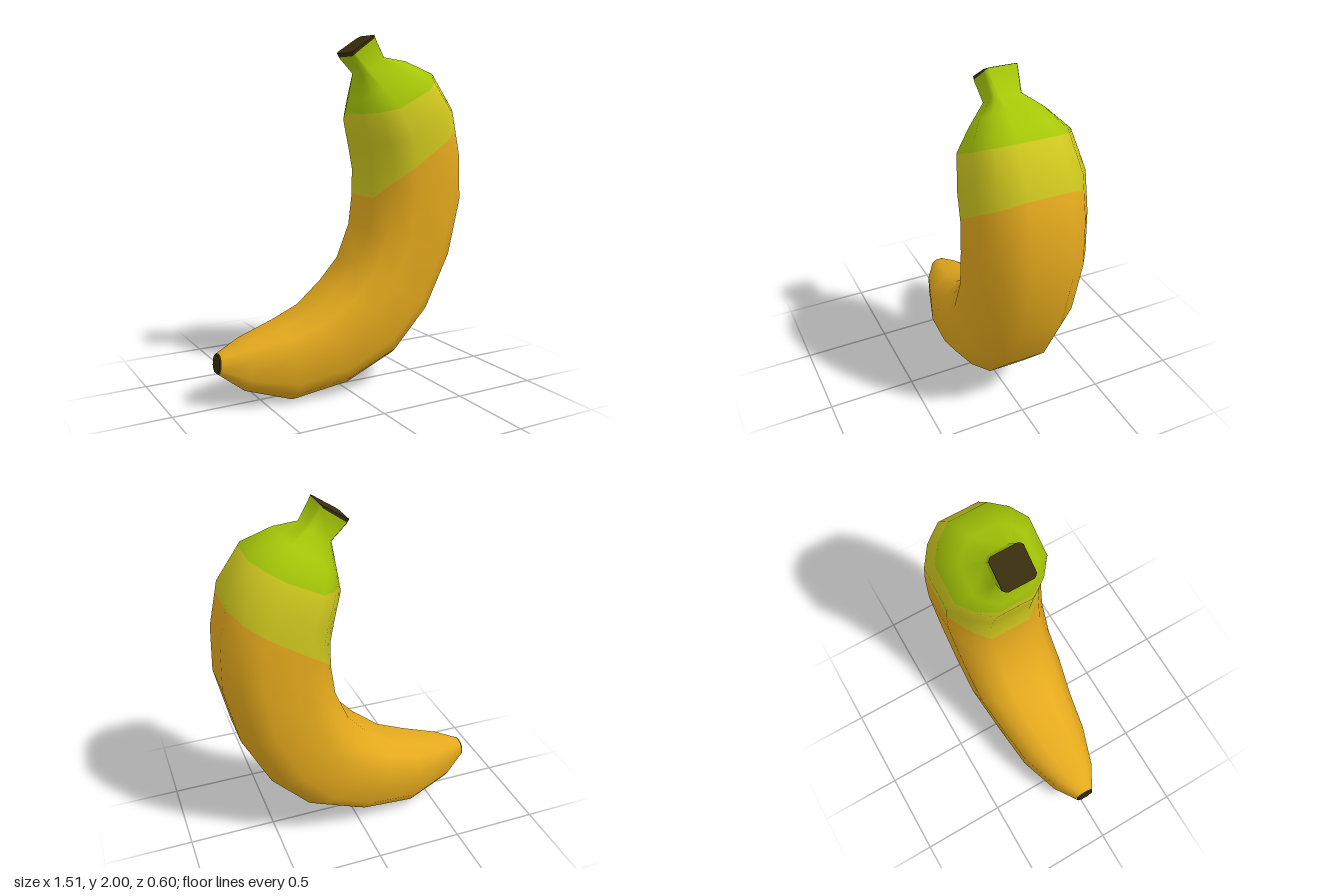
import * as THREE from 'three';

// Cross-sections from blossom tip to stem: inner x, y, outer x, y, flatness (width of the straight sides)
const RINGS = [
  [-0.745, 0.30, -0.755, 0.20, 0.40],
  [-0.60, 0.36, -0.61, 0.09, 0.40],
  [-0.39, 0.42, -0.34, 0.00, 0.40],
  [-0.22, 0.485, 0.00, 0.045, 0.40],
  [-0.06, 0.61, 0.30, 0.18, 0.40],
  [0.05, 0.73, 0.52, 0.41, 0.40],
  [0.13, 0.92, 0.68, 0.73, 0.40],
  [0.155, 1.10, 0.755, 1.07, 0.40],
  [0.155, 1.25, 0.745, 1.34, 0.40],
  [0.13, 1.38, 0.69, 1.59, 0.40],
  [0.09, 1.53, 0.555, 1.79, 0.40],
  [0.10, 1.64, 0.39, 1.86, 0.42],
  [0.12, 1.79, 0.26, 1.88, 0.65],
  [0.045, 1.875, 0.197, 1.975, 0.78],
  [0.03, 1.90, 0.185, 2.00, 0.78],
];
const SIDES = 12;
const LAST = RINGS.length - 1;

// Twelve-sided section, each as deep in z as it is wide
function ringPoints([ix, iy, ox, oy, f]) {
  const d = (1 + f) / 2 + 0.08 * (1 - f);
  const corners = [[1, -f], [1, f], [d, d], [f, 1], [-f, 1], [-d, d],
    [-1, f], [-1, -f], [-d, -d], [-f, -1], [f, -1], [d, -d]];
  const half = Math.hypot(ox - ix, oy - iy) / 2;
  return corners.map(([u, v]) => new THREE.Vector3(
    (ix + ox) / 2 + u * (ox - ix) / 2, (iy + oy) / 2 + u * (oy - iy) / 2, v * half));
}

// Whole skin, used as the source of positions and smooth normals
function makeSkin() {
  const points = RINGS.flatMap(ringPoints);
  const index = [];
  for (let r = 0; r < LAST; r++) for (let k = 0; k < SIDES; k++) {
    const a = r * SIDES + k, d = r * SIDES + (k + 1) % SIDES;
    index.push(a, a + SIDES, d + SIDES, a, d + SIDES, d);
  }
  const geo = new THREE.BufferGeometry().setFromPoints(points);
  geo.setIndex(index);
  geo.computeVertexNormals();
  return geo;
}

function sample(attribute, t, k) {
  const r = Math.min(Math.floor(t), LAST - 1);
  const a = new THREE.Vector3().fromBufferAttribute(attribute, r * SIDES + k);
  const b = new THREE.Vector3().fromBufferAttribute(attribute, (r + 1) * SIDES + k);
  return a.lerp(b, t - r);
}

// Part of the skin between two borders, each given per column
function zone(skin, from, to) {
  const pos = [], nor = [], index = [];
  const rows = [...new Set([...RINGS.keys(), ...from, ...to])].sort((a, b) => a - b)
    .filter(t => t >= Math.min(...from) && t <= Math.max(...to));
  const ts = rows.map(t => from.map((lo, k) => Math.min(Math.max(t, lo), to[k])));
  ts.forEach((row, r) => row.forEach((t, k) => {
    pos.push(...sample(skin.attributes.position, t, k).toArray());
    nor.push(...sample(skin.attributes.normal, t, k).normalize().toArray());
    if (r === 0) return;
    const k1 = (k + 1) % SIDES;
    const a = (r - 1) * SIDES + k, d = (r - 1) * SIDES + k1;
    // Leave out triangles collapsed by the border
    if (ts[r][k] > ts[r - 1][k]) index.push(a, a + SIDES, d + SIDES);
    if (ts[r][k1] > ts[r - 1][k1]) index.push(a, d + SIDES, d);
  }));
  const geo = new THREE.BufferGeometry();
  geo.setAttribute('position', new THREE.Float32BufferAttribute(pos, 3));
  geo.setAttribute('normal', new THREE.Float32BufferAttribute(nor, 3));
  geo.setIndex(index);
  return geo;
}

// Flat end face
function cap(ring, atTop) {
  const points = ringPoints(RINGS[ring]);
  const index = [];
  for (let k = 1; k < SIDES - 1; k++) index.push(0, ...(atTop ? [k + 1, k] : [k, k + 1]));
  const geo = new THREE.BufferGeometry().setFromPoints(points);
  geo.setIndex(index);
  geo.computeVertexNormals();
  return geo;
}

export function createModel() {
  const group = new THREE.Group();
  const material = (name, color) => new THREE.MeshStandardMaterial({ name, color });
  const yellow = material('ripe yellow', 0xe4a91d);
  const lime = material('yellow green', 0xcdc61e);
  const green = material('fresh green', 0xa6c708);
  const brown = material('dark brown', 0x382c0d);
  const add = (name, geo, mat) => {
    const mesh = new THREE.Mesh(geo, mat);
    mesh.name = name;
    group.add(mesh);
  };

  // Colour borders, from outer bend (a) round to inner bend (f) and back
  const level = t => Array(SIDES).fill(t);
  const border = (a, b, c, d, e, f) => [a, a, b, c, d, e, f, f, e, d, c, b];
  const ripe = border(8.78, 8.65, 8.53, 8.05, 7.6, 7.0);
  const fresh = border(9.9, 9.91, 9.92, 9.95, 10.13, 10.35);
  const stemTop = border(13.9, 13.8, 13.6, 13.4, 13.25, 13.2);

  const skin = makeSkin();
  add('tipRim', zone(skin, level(0), level(0.06)), brown);
  add('tipEnd', cap(0, false), brown);
  add('ripeBody', zone(skin, level(0.06), ripe), yellow);
  add('ripeningBand', zone(skin, ripe, fresh), lime);
  add('neckAndStem', zone(skin, fresh, stemTop), green);
  add('stemRim', zone(skin, stemTop, level(14)), brown);
  add('stemEnd', cap(LAST, true), brown);
  return group;
}
